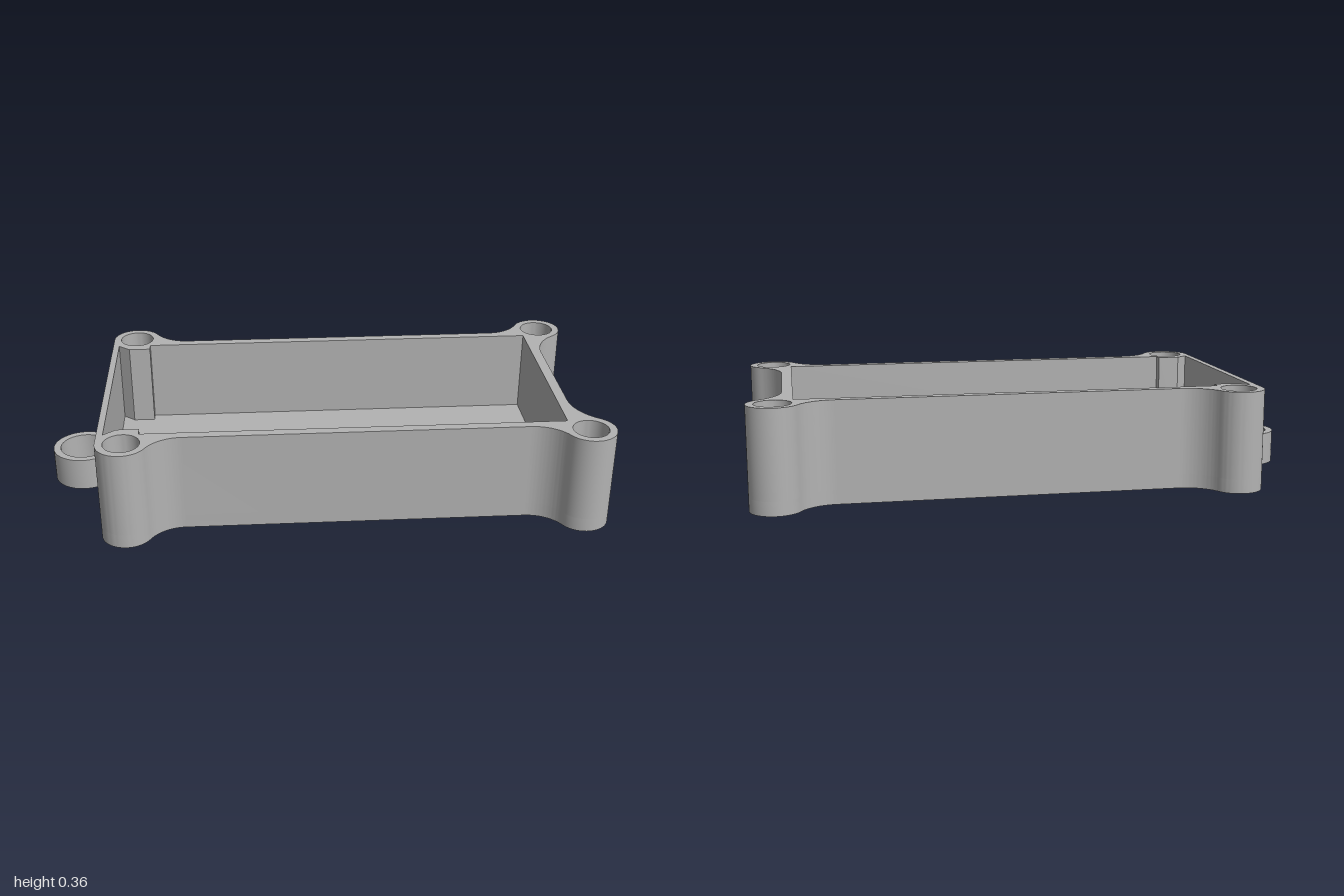
import * as THREE from 'three';
import { toCreasedNormals } from 'three/addons/utils/BufferGeometryUtils.js';

const POST_R = 0.09, HOLE_R = 0.063;
const LEFT = -0.70, RIGHT = 0.91, POST_Z = 0.435; // screw post centres
const SIDE = 0.405, END = 0.88;                   // outer wall faces
const HEIGHT = 0.36, FLOOR = 0.05;

// Outer outline: four round posts blended into the walls by concave fillets
function outline() {
  const r1 = 0.14, r2 = 0.18;
  const o1 = SIDE + r1 - POST_Z, o2 = END + r2 - RIGHT;
  const d1 = Math.sqrt((r1 + POST_R) ** 2 - o1 ** 2);
  const d2 = Math.sqrt((r2 + POST_R) ** 2 - o2 ** 2);
  const a = Math.atan2(o1, d1), b = Math.atan2(d2, o2), PI = Math.PI;

  const half = new THREE.Path();
  half.absarc(LEFT, -POST_Z, POST_R, PI, 2 * PI - a, false);
  half.absarc(LEFT + d1, -SIDE - r1, r1, PI - a, PI / 2, true);
  half.absarc(RIGHT - d1, -SIDE - r1, r1, PI / 2, a, true);
  half.absarc(RIGHT, -POST_Z, POST_R, PI + a, 2 * PI + b, false);
  half.absarc(END + r2, -POST_Z + d2, r2, PI + b, PI, true);

  // Drop the near-coincident points where arcs join, then mirror
  const pts = half.getPoints(14).filter((p, i, all) => i === 0 || p.distanceTo(all[i - 1]) > 1e-5);
  const mirrored = pts.map(p => new THREE.Vector2(p.x, -p.y)).reverse();
  return new THREE.Shape([...pts, ...mirrored]);
}

function circleHole(x, y, r) {
  return new THREE.Path().absarc(x, y, r, 0, Math.PI * 2, true);
}

function addScrewHoles(shape) {
  for (const x of [LEFT, RIGHT])
    for (const y of [-POST_Z, POST_Z]) shape.holes.push(circleHole(x, y, HOLE_R));
  return shape;
}

// Inner cavity with thickened, chamfered pads beside the two left posts
function cavity() {
  const half = [[0.843, -0.37], [-0.645, -0.37], [-0.645, -0.335], [-0.725, -0.335], [-0.767, -0.37]];
  const pts = half.map(([x, y]) => new THREE.Vector2(x, y));
  const mirrored = pts.map(p => new THREE.Vector2(p.x, -p.y)).reverse();
  return new THREE.Path([...pts, ...mirrored]);
}

// Extrude a plan shape upwards from height y
function slab(name, shape, y, height, material) {
  let geo = new THREE.ExtrudeGeometry(shape, { depth: height, bevelEnabled: false, curveSegments: 20 });
  geo.rotateX(-Math.PI / 2);
  geo = toCreasedNormals(geo, Math.PI / 6);
  const mesh = new THREE.Mesh(geo, material);
  mesh.name = name;
  mesh.position.y = y;
  return mesh;
}

export function createModel() {
  const grey = new THREE.MeshStandardMaterial({ color: 0xb3b3b3 });
  grey.name = 'grey plastic';

  const group = new THREE.Group();
  group.name = 'enclosure';

  // Floor plate
  group.add(slab('floor', addScrewHoles(outline()), 0, FLOOR, grey));

  // Walls and screw posts
  const wallShape = addScrewHoles(outline());
  wallShape.holes.push(cavity());
  group.add(slab('walls', wallShape, FLOOR, HEIGHT - FLOOR, grey));

  // Lanyard ring on the left end
  const ring = new THREE.Shape();
  ring.absarc(-0.886, 0, 0.114, 0, Math.PI * 2, false);
  ring.holes.push(circleHole(-0.886, 0, 0.088));
  group.add(slab('lanyardRing', ring, 0, 0.12, grey));

  return group;
}
